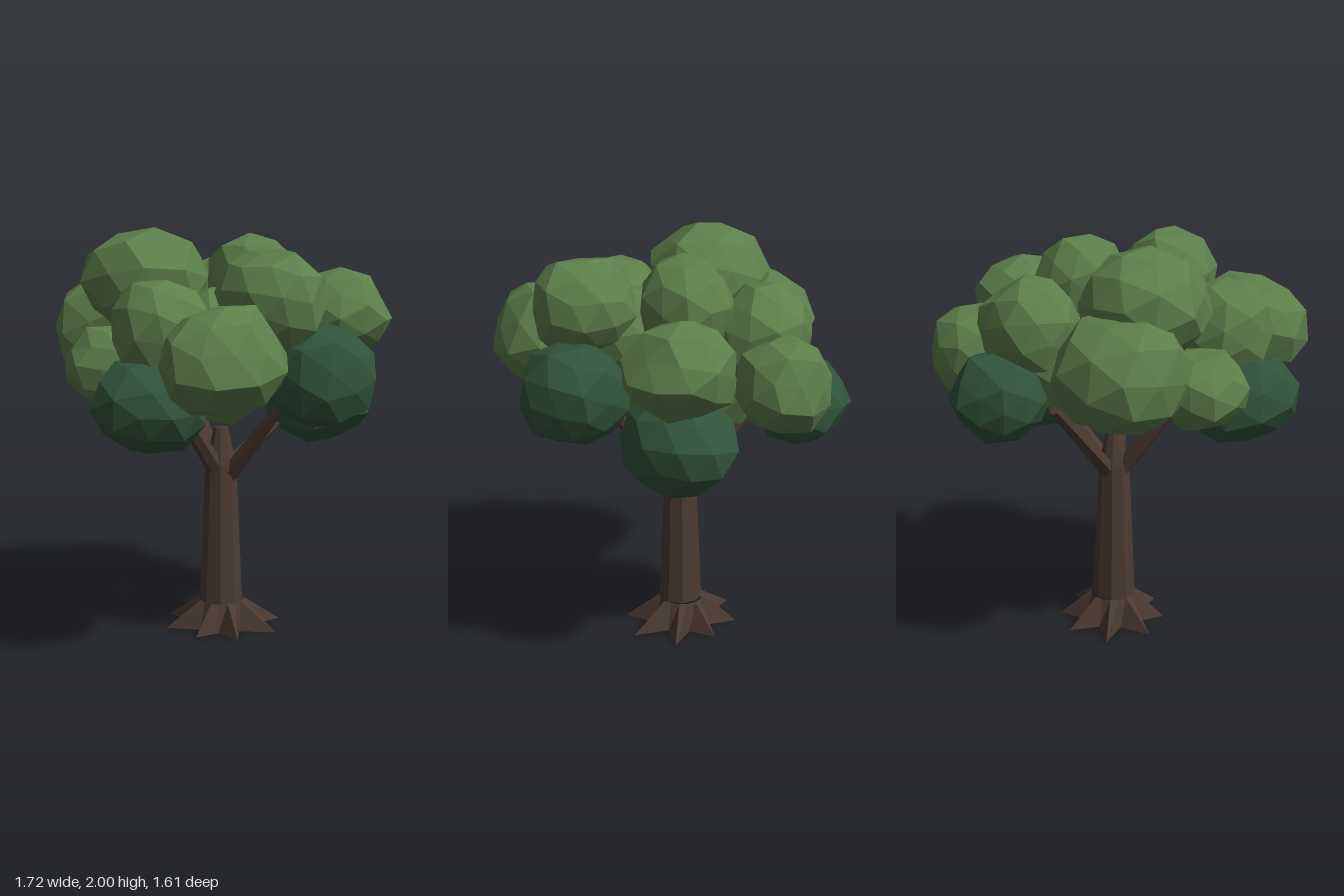
import * as THREE from 'three';
import { mergeVertices } from 'three/addons/utils/BufferGeometryUtils.js';

const mat = (name, color) => {
  const m = new THREE.MeshStandardMaterial({ color, flatShading: true });
  m.name = name;
  return m;
};

// Small seeded generator for the uneven foliage
function seeded(seed) {
  let s = seed * 7919 + 17;
  return () => (s = (s * 16807) % 2147483647) / 2147483647;
}

// Faceted leaf clump: a subdivided icosahedron with uneven corners
function clumpGeometry(seed) {
  const rand = seeded(seed);
  rand(); rand();
  let g = new THREE.IcosahedronGeometry(1, 1);
  g.deleteAttribute('normal');
  g.deleteAttribute('uv');
  g = mergeVertices(g, 1e-3);
  const p = g.attributes.position, v = new THREE.Vector3();
  for (let i = 0; i < p.count; i++) {
    v.fromBufferAttribute(p, i).multiplyScalar(0.92 + 0.16 * rand());
    p.setXYZ(i, v.x, v.y, v.z);
  }
  g.rotateY(rand() * 6).rotateX(rand() * 6);
  g = g.toNonIndexed();
  g.computeVertexNormals();
  return g;
}

// Root flare: a ring at the trunk joined to a pointed star on the ground
function rootGeometry(tips) {
  const n = tips * 2, pos = [];
  const top = i => {
    const a = (i / n) * Math.PI * 2;
    return [Math.sin(a) * 0.108, 0.14, Math.cos(a) * 0.108];
  };
  const bottom = i => {
    const a = (i / n) * Math.PI * 2;
    const r = i % 2 ? 0.285 + 0.025 * Math.sin((i % n) * 2.3) : 0.14;
    return [Math.sin(a) * r, i % 2 ? 0.008 : 0, Math.cos(a) * r];
  };
  for (let i = 0; i < n; i++) {
    const a = bottom(i), b = bottom(i + 1), c = top(i + 1), d = top(i);
    pos.push(...a, ...b, ...c, ...a, ...c, ...d, 0, 0, 0, ...b, ...a);
  }
  const g = new THREE.BufferGeometry();
  g.setAttribute('position', new THREE.Float32BufferAttribute(pos, 3));
  g.computeVertexNormals();
  return g;
}

export function createModel() {
  const tree = new THREE.Group();
  tree.name = 'tree';
  const bark = mat('bark brown', 0x4b3a33);
  const leaf = mat('leaf green', 0x5c7f4b);
  const shade = mat('deep green', 0x30533a);

  const add = (name, geometry, material, x = 0, y = 0, z = 0) => {
    const m = new THREE.Mesh(geometry, material);
    m.name = name;
    m.position.set(x, y, z);
    tree.add(m);
    return m;
  };

  // Trunk and roots
  add('trunk', new THREE.CylinderGeometry(0.078, 0.108, 0.7, 9), bark, 0, 0.49, -0.035);
  add('trunkTop', new THREE.CylinderGeometry(0.035, 0.078, 0.18, 9), bark, 0, 0.93, -0.035);
  add('roots', rootGeometry(8), bark, 0.01, 0, -0.04);

  // Branches: start and end points
  const up = new THREE.Vector3(0, 1, 0);
  [
    [[0.02, 0.78, 0], [0.12, 1.2, 0.32]],
    [[0.03, 0.8, -0.03], [0.42, 1.14, 0.08]],
    [[-0.03, 0.81, -0.03], [-0.36, 1.25, 0.02]],
    [[0.01, 0.79, -0.05], [0.08, 1.24, -0.48]],
  ].forEach(([from, to], i) => {
    const a = new THREE.Vector3(...from), b = new THREE.Vector3(...to);
    const dir = b.clone().sub(a), mid = a.clone().add(b).multiplyScalar(0.5);
    const m = add('branch' + (i + 1), new THREE.CylinderGeometry(0.026, 0.047, dir.length(), 6), bark, mid.x, mid.y, mid.z);
    m.quaternion.setFromUnitVectors(up, dir.normalize());
  });

  // Foliage: centre x, y, z then radii x, y, z
  const clumps = (name, material, list, seed) => list.forEach(([x, y, z, rx, ry, rz], i) => {
    add(name + (i + 1), clumpGeometry(seed + i), material, x, y, z).scale.set(rx, ry, rz);
  });
  clumps('lightClump', leaf, [
    [-0.27, 1.72, -0.27, 0.31, 0.28, 0.31],
    [0.18, 1.71, -0.01, 0.24, 0.25, 0.22],
    [-0.28, 1.48, -0.5, 0.33, 0.29, 0.3],
    [-0.44, 1.46, 0.54, 0.31, 0.26, 0.25],
    [-0.06, 1.69, 0.42, 0.25, 0.24, 0.26],
    [-0.48, 1.56, 0.13, 0.24, 0.24, 0.24],
    [0.59, 1.55, 0.14, 0.26, 0.22, 0.27],
    [0.57, 1.42, -0.35, 0.23, 0.23, 0.24],
    [0.27, 1.58, -0.36, 0.25, 0.24, 0.25],
    [-0.55, 1.36, -0.2, 0.2, 0.2, 0.23],
    [-0.03, 1.36, -0.1, 0.42, 0.32, 0.42],
    [-0.16, 1.5, 0.17, 0.28, 0.25, 0.25],
  ], 3);
  clumps('darkClump', shade, [
    [0.14, 1.33, 0.53, 0.28, 0.25, 0.26],
    [0.5, 1.17, 0.13, 0.29, 0.25, 0.27],
    [-0.57, 1.22, 0.17, 0.28, 0.23, 0.26],
    [0.35, 1.28, -0.52, 0.24, 0.22, 0.23],
  ], 41);

  return tree;
}
